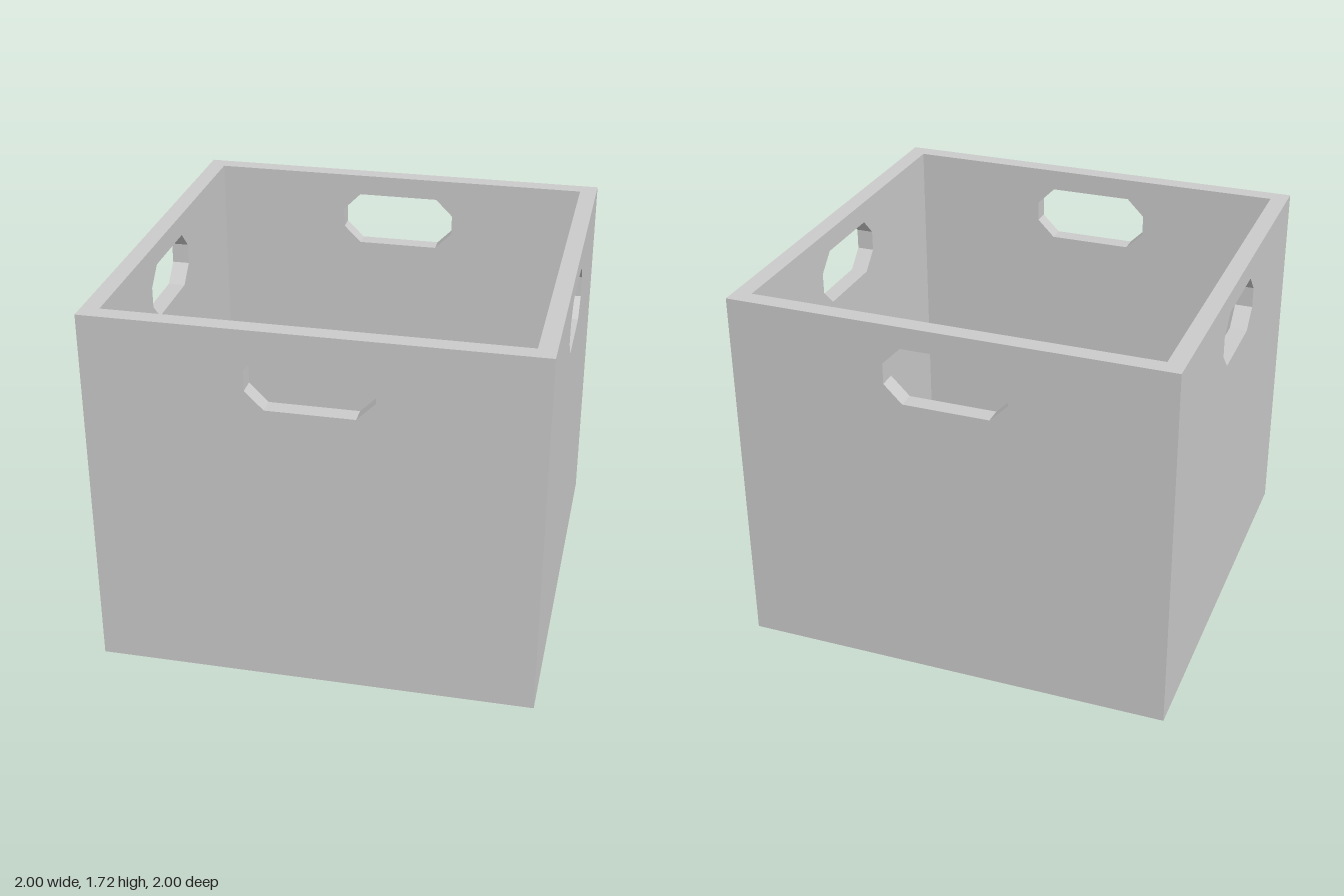
import * as THREE from 'three';

const HEIGHT = 1.72, HALF = 1, WALL = 0.08, INNER = HALF - WALL;
const HOLE_BOTTOM = 1.358, HOLE_TOP = 1.62, CHAMFER = 0.083;

// Octagonal hand hole with chamfered corners
function handHole(halfWidth) {
  const w = halfWidth, f = halfWidth - CHAMFER, b = HOLE_BOTTOM, t = HOLE_TOP, c = CHAMFER;
  return new THREE.Path([
    [-f, b], [-w, b + c], [-w, t - c], [-f, t],
    [f, t], [w, t - c], [w, b + c], [f, b],
  ].map(([x, y]) => new THREE.Vector2(x, y)));
}

// Wall panel with a hand hole, its ends mitred at 45 degrees
function wallGeometry(holeHalfWidth) {
  const shape = new THREE.Shape([
    new THREE.Vector2(-HALF, 0), new THREE.Vector2(HALF, 0),
    new THREE.Vector2(HALF, HEIGHT), new THREE.Vector2(-HALF, HEIGHT),
  ]);
  shape.holes.push(handHole(holeHalfWidth));
  const geometry = new THREE.ExtrudeGeometry(shape, { depth: WALL, bevelEnabled: false });
  geometry.translate(0, 0, INNER);
  const p = geometry.attributes.position;
  for (let i = 0; i < p.count; i++) {
    if (p.getZ(i) < INNER + WALL / 2 && Math.abs(p.getX(i)) > INNER) {
      p.setX(i, Math.sign(p.getX(i)) * INNER);
    }
  }
  geometry.computeVertexNormals();
  return geometry;
}

export function createModel() {
  const group = new THREE.Group();
  group.name = 'storageBox';
  const material = new THREE.MeshStandardMaterial({ color: 0xcccccc, flatShading: true });

  // Four walls, turned around the vertical axis
  ['frontWall', 'leftWall', 'backWall', 'rightWall'].forEach((name, i) => {
    const wall = new THREE.Mesh(wallGeometry(i % 2 ? 0.27 : 0.28), material);
    wall.name = name;
    wall.rotation.y = i * Math.PI / 2;
    group.add(wall);
  });

  // Floor fitted between the walls
  const floor = new THREE.Mesh(new THREE.BoxGeometry(2 * INNER, WALL, 2 * INNER), material);
  floor.name = 'floor';
  floor.position.y = WALL / 2;
  group.add(floor);

  return group;
}
